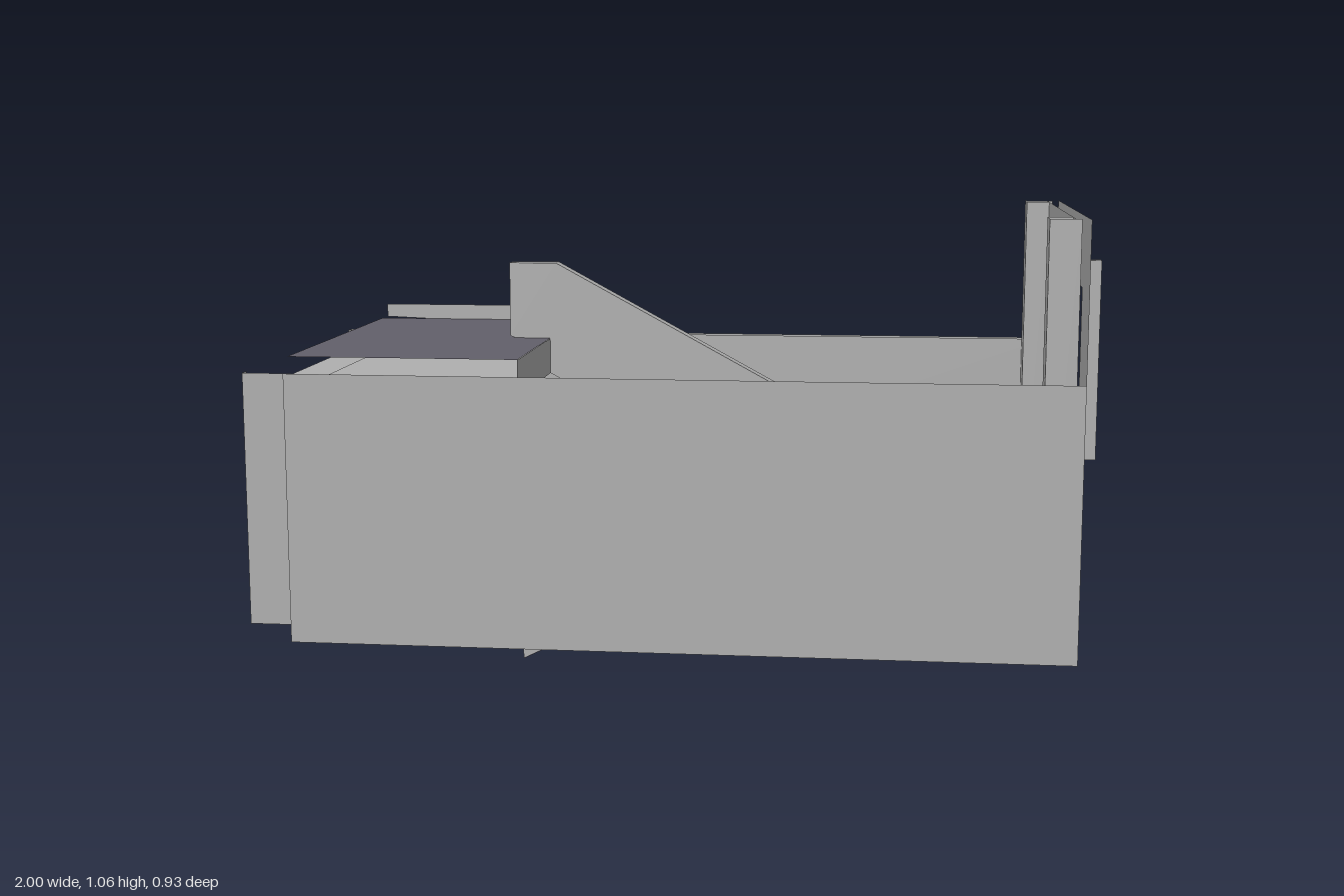
import * as THREE from 'three';

export function createModel() {
  const model = new THREE.Group();
  const wall = new THREE.MeshStandardMaterial({ color: 0xafafaf });
  wall.name = 'wall grey';
  const dark = new THREE.MeshStandardMaterial({ color: 0x62606a });
  dark.name = 'floor slate';
  const sheet = new THREE.MeshStandardMaterial({ color: 0xafafaf, side: THREE.DoubleSide });
  sheet.name = 'thin wall grey';
  const floorSheet = new THREE.MeshStandardMaterial({ color: 0x62606a, side: THREE.DoubleSide });
  floorSheet.name = 'thin floor slate';

  const add = (name, geo, mat, parent = model) => {
    const m = new THREE.Mesh(geo, mat);
    m.name = name;
    parent.add(m);
    return m;
  };
  const box = (name, mat, x0, x1, y0, y1, z0, z1, parent) =>
    add(name, new THREE.BoxGeometry(x1 - x0, y1 - y0, z1 - z0)
      .translate((x0 + x1) / 2, (y0 + y1) / 2, (z0 + z1) / 2), mat, parent);
  const poly = (pts) => new THREE.Shape(pts.map(([x, y]) => new THREE.Vector2(x, y)));
  const rect = (a, b, c, d) => [[a, c], [b, c], [b, d], [a, d]];
  // Flat sheets facing along an axis
  const sheetZ = (name, mat, x0, x1, y0, y1, z, face) => {
    const g = new THREE.PlaneGeometry(x1 - x0, y1 - y0);
    if (face < 0) g.rotateY(Math.PI);
    return add(name, g.translate((x0 + x1) / 2, (y0 + y1) / 2, z), mat);
  };
  const sheetY = (name, mat, x0, x1, z0, z1, y, face = 1) =>
    add(name, new THREE.PlaneGeometry(x1 - x0, z1 - z0).rotateX(-face * Math.PI / 2)
      .translate((x0 + x1) / 2, y, (z0 + z1) / 2), mat);
  const sheetX = (name, mat, pts, x, face, hole) => {
    const s = poly(pts);
    if (hole) s.holes.push(poly(hole));
    return add(name, new THREE.ShapeGeometry(s).rotateY(face * Math.PI / 2).translate(x, 0, 0), mat);
  };
  const slab = (name, mat, pts, z0, z1, parent) =>
    add(name, new THREE.ExtrudeGeometry(poly(pts), { depth: z1 - z0, bevelEnabled: false })
      .translate(0, 0, z0), mat, parent);

  // Long side walls: outer sheet, inward lining and a strip closing the cavity foot
  for (const s of [-1, 1]) {
    sheetZ('outerSideWall', sheet, -0.9, 0.96, 0.033, 0.684, s * 0.465, s);
    sheetZ('innerSideWall', wall, -0.9, 0.93, 0.034, 0.684, s * 0.43, -s);
    sheetZ('cavityStrip', wall, -0.9, 0.93, 0.034, 0.1, s * 0.431, s);
  }

  // End wall with window opening
  const opening = rect(-0.28, 0.28, 0.552, 0.889);
  sheetX('outerEndWall', sheet, rect(-0.465, 0.465, 0.03, 1.056), 0.96, 1, opening);
  sheetX('innerEndWall', wall, rect(-0.43, 0.43, 0.034, 1.056), 0.928, -1, opening);
  sheetY('windowSill', wall, 0.928, 0.96, -0.28, 0.28, 0.552, 1);
  sheetY('windowHead', wall, 0.928, 0.96, -0.28, 0.28, 0.889, -1);
  sheetY('endWallFooting', sheet, 0.928, 0.96, -0.43, 0.43, 0.05, 1);
  for (const s of [-1, 1]) {
    sheetZ('windowReveal', wall, 0.928, 0.96, 0.552, 0.889, s * 0.28, -s);
    box('windowJamb', wall, 0.96, 1, 0.488, 0.954, s * 0.296 - 0.016, s * 0.296 + 0.016);
    // Hollow corner column, open at top and bottom
    sheetZ('columnOuterFace', sheet, 0.87, 0.942, 0.034, 1.056, s * 0.431, s);
    sheetZ('columnInnerFace', sheet, 0.87, 0.928, 0.034, 1.056, s * 0.36, -s);
    sheetX('columnFront', sheet, rect(s * 0.395 - 0.035, s * 0.395 + 0.035, 0.034, 1.056), 0.87, -1);
  }

  // Open end: side posts and lintel
  for (const s of [-1, 1]) {
    sheetZ('endPostSide', sheet, -1, -0.88, 0.075, 0.684, s * 0.461, s);
    sheetZ('endPostLining', wall, -1, -0.88, 0.075, 0.684, s * 0.43, -s);
    sheetX('endPostFace', sheet, rect(s * 0.4455 - 0.0155, s * 0.4455 + 0.0155, 0.075, 0.684), -1, -1);
  }
  box('lintel', wall, -1, -0.9, 0.573, 0.63, -0.43, 0.405);

  // Ground floor with column notches and a gap under the lower flight
  const ground = poly([
    [-0.9, -0.43], [0.87, -0.43], [0.87, -0.36], [0.928, -0.36],
    [0.928, 0.36], [0.87, 0.36], [0.87, 0.43], [-0.9, 0.43],
  ]);
  ground.holes.push(poly(rect(-0.34, -0.22, -0.425, -0.01)));
  add('groundFloor', new THREE.ShapeGeometry(ground).rotateX(-Math.PI / 2).translate(0, 0.04, 0), floorSheet);

  // Half landing and upper floor
  box('halfLanding', [wall, wall, dark, dark, wall, wall], 0.265, 0.928, 0.31, 0.385, -0.43, 0.43);
  sheetY('upperFloor', floorSheet, -0.9, -0.347, -0.43, 0.43, 0.72);
  sheetY('upperFloorSoffit', sheet, -0.9, -0.347, -0.43, 0.43, 0.632);
  sheetX('upperFloorFascia', sheet, rect(-0.43, 0.43, 0.63, 0.719), -0.347, 1);
  sheetZ('upperFloorEdge', wall, -0.89, -0.347, 0.683, 0.72, -0.432, -1);

  // Sloping skirting along the back wall
  add('upperSkirting', new THREE.ShapeGeometry(poly([
    [-0.885, 0.725], [-0.40, 0.705], [-0.33, 0.684], [-0.39, 0.76], [-0.885, 0.76],
  ])).translate(0, 0, -0.428), wall);

  // Stair flight: grey body with slate treads, risers and soffit, climbing along local +x
  const RUN = 0.0675, RISE = 0.0335, COUNT = 10;
  const flight = (name, x, y, z, width, turn) => {
    const g = new THREE.Group();
    g.name = name;
    const pts = [];
    for (let i = 0; i < COUNT; i++) {
      pts.push([i * RUN, i * RISE], [i * RUN, (i + 1) * RISE]);
    }
    const end = (COUNT - 1) * RUN, endY = COUNT * RISE - 0.08;
    pts.push([end, endY], [0, -0.048]);
    slab('flightBody', wall, pts, -width / 2, width / 2, g);
    slab('soffit', dark, [[0, -0.05], [end, endY - 0.002], [end, endY], [0, -0.048]],
      -width / 2, width / 2, g);
    for (let i = 0; i < COUNT; i++) {
      const u = i * RUN, v = i * RISE;
      box('riser', dark, u - 0.002, u, v, v + RISE - 0.009, -width / 2, width / 2, g);
      if (i < COUNT - 1) {
        box('tread', dark, u + 0.008, u + RUN - 0.002, v + RISE, v + RISE + 0.001,
          -width / 2, width / 2, g);
      }
    }
    g.position.set(x, y, z);
    g.rotation.y = turn;
    model.add(g);
  };
  flight('upperFlight', 0.262, 0.385, -0.24, 0.38, Math.PI);
  flight('lowerFlight', -0.34, 0.05, 0.22, 0.42, 0);

  // Solid balustrades and the newel joining them
  slab('upperBalustrade', wall, [
    [-0.45, 0.725], [-0.40, 0.705], [-0.347, 0.63], [0.265, 0.31], [0.33, 0.31],
    [0.33, 0.555], [0.31, 0.565], [-0.33, 0.912], [-0.45, 0.912],
  ], -0.05, -0.006);
  slab('lowerBalustrade', wall, [
    [-0.347, 0.03], [0.265, 0.325], [0.33, 0.325], [0.33, 0.582], [0.27, 0.582], [-0.347, 0.25],
  ], 0.008, 0.045);
  box('newel', wall, 0.29, 0.332, 0.312, 0.583, -0.051, 0.046);

  return model;
}
